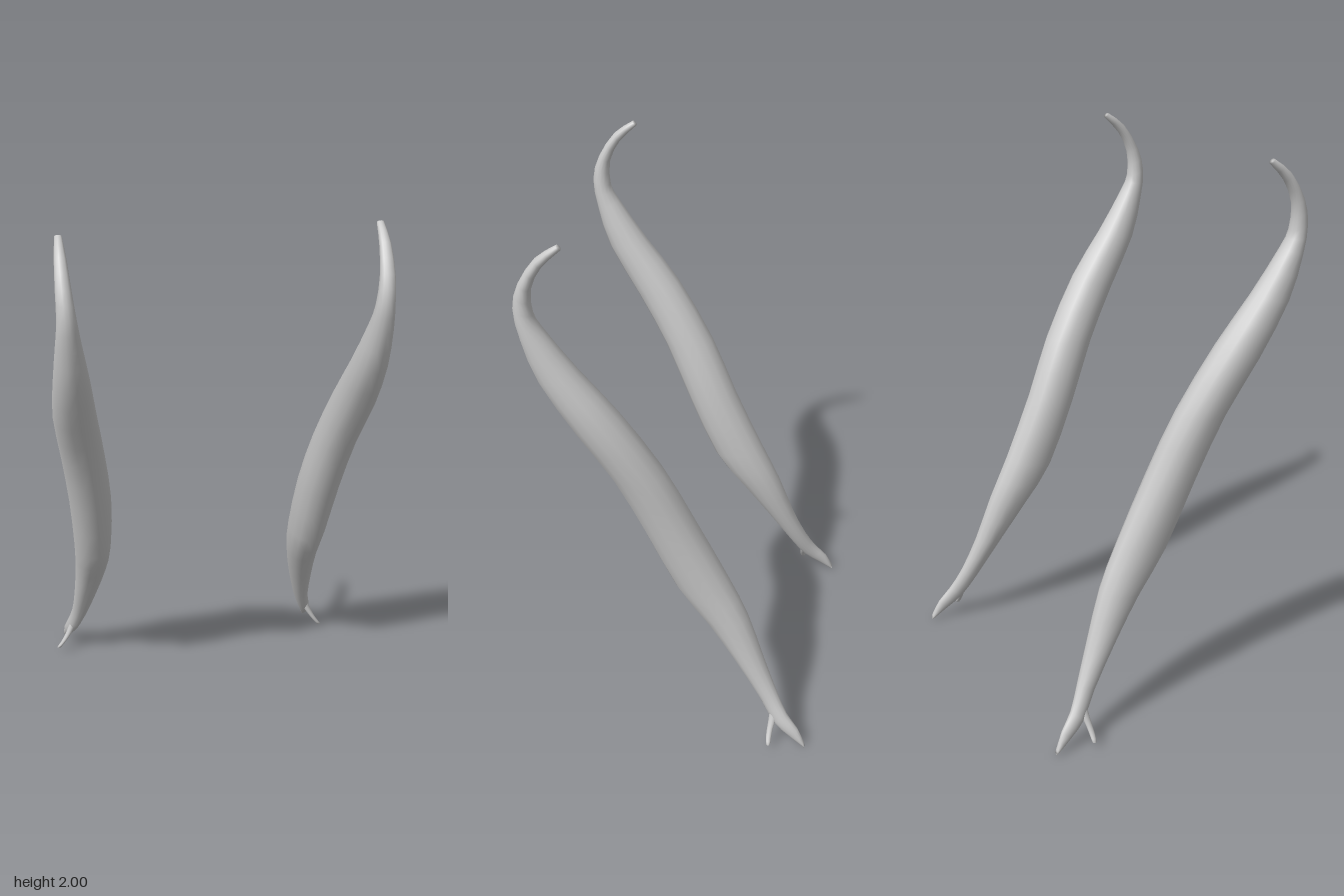
import * as THREE from 'three';

const SIDES = 14;

// Cross-sections from top to bottom:
// [centre x, half width, front edge z, front edge y, back edge z, back edge y]
const BELLY = [
  [0.515, 0.012, 0.345, 2.0, 0.33, 1.985],
  [0.515, 0.02, 0.415, 1.95, 0.395, 1.92],
  [0.513, 0.026, 0.475, 1.86, 0.435, 1.84],
  [0.508, 0.032, 0.5, 1.77, 0.435, 1.75],
  [0.505, 0.042, 0.485, 1.66, 0.405, 1.69],
  [0.497, 0.06, 0.44, 1.51, 0.3, 1.54],
  [0.485, 0.074, 0.33, 1.32, 0.175, 1.38],
  [0.456, 0.077, 0.22, 1.13, 0.035, 1.15],
  [0.43, 0.077, 0.12, 0.9, -0.065, 0.93],
  [0.42, 0.07, 0.01, 0.65, -0.18, 0.69],
  [0.426, 0.06, -0.1, 0.5, -0.255, 0.53],
  [0.445, 0.045, -0.2, 0.36, -0.32, 0.35],
  [0.472, 0.03, -0.31, 0.19, -0.375, 0.22],
  [0.5, 0.024, -0.37, 0.095, -0.42, 0.135],
  [0.515, 0.017, -0.43, 0.045, -0.465, 0.08],
  [0.525, 0.009, -0.495, 0.0, -0.492, 0.022],
];
const PRONG = [
  [0.483, 0.012, -0.355, 0.19, -0.385, 0.19],
  [0.502, 0.014, -0.355, 0.125, -0.385, 0.125],
  [0.525, 0.011, -0.352, 0.08, -0.375, 0.08],
  [0.545, 0.009, -0.351, 0.05, -0.371, 0.05],
  [0.561, 0.008, -0.354, 0.028, -0.37, 0.028],
];

// Smooth loft of elliptical rings, closed at both ends; side = -1 mirrors it in x
function loft(sections, side) {
  const front = new THREE.CatmullRomCurve3(
    sections.map(([x, , z, y]) => new THREE.Vector3(x, y, z)), false, 'catmullrom');
  const back = new THREE.CatmullRomCurve3(
    sections.map(([, w, , , z, y]) => new THREE.Vector3(w, y, z)), false, 'catmullrom');
  const steps = (sections.length - 1) * 2;
  const pos = [], index = [];
  for (let i = -1; i <= steps + 1; i++) {
    const t = THREE.MathUtils.clamp(i / steps, 0, 1);
    const size = i < 0 || i > steps ? 0 : 1; // collapsed end rings close the tips
    const f = front.getPoint(t), b = back.getPoint(t);
    for (let j = 0; j < SIDES; j++) {
      const a = (j / SIDES) * Math.PI * 2;
      const c = Math.cos(a) * size, s = Math.sin(a) * size;
      pos.push(
        side * (f.x + c * b.x),
        (f.y + b.y) / 2 + s * (f.y - b.y) / 2,
        (f.z + b.z) / 2 + s * (f.z - b.z) / 2);
    }
  }
  for (let i = 0; i < steps + 2; i++) {
    for (let j = 0; j < SIDES; j++) {
      const p = i * SIDES + j, q = i * SIDES + (j + 1) % SIDES;
      const r = p + SIDES, s = q + SIDES;
      if (side > 0) index.push(p, q, r, q, s, r);
      else index.push(p, r, q, q, r, s);
    }
  }
  const geo = new THREE.BufferGeometry();
  geo.setAttribute('position', new THREE.Float32BufferAttribute(pos, 3));
  geo.setIndex(index);
  geo.computeVertexNormals();
  return geo;
}

export function createModel() {
  const model = new THREE.Group();
  model.name = 'musclePair';
  const grey = new THREE.MeshStandardMaterial({ color: 0xc8c8c8 });
  grey.name = 'light grey';

  for (const [side, label] of [[1, 'left'], [-1, 'right']]) {
    const muscle = new THREE.Group();
    muscle.name = label + 'Muscle';
    // Long belly with a hooked upper end and a tapered lower tip
    const belly = new THREE.Mesh(loft(BELLY, side), grey);
    belly.name = label + 'Belly';
    // Thin second tendon branching off near the lower end
    const prong = new THREE.Mesh(loft(PRONG, side), grey);
    prong.name = label + 'TendonProng';
    muscle.add(belly, prong);
    model.add(muscle);
  }
  return model;
}
